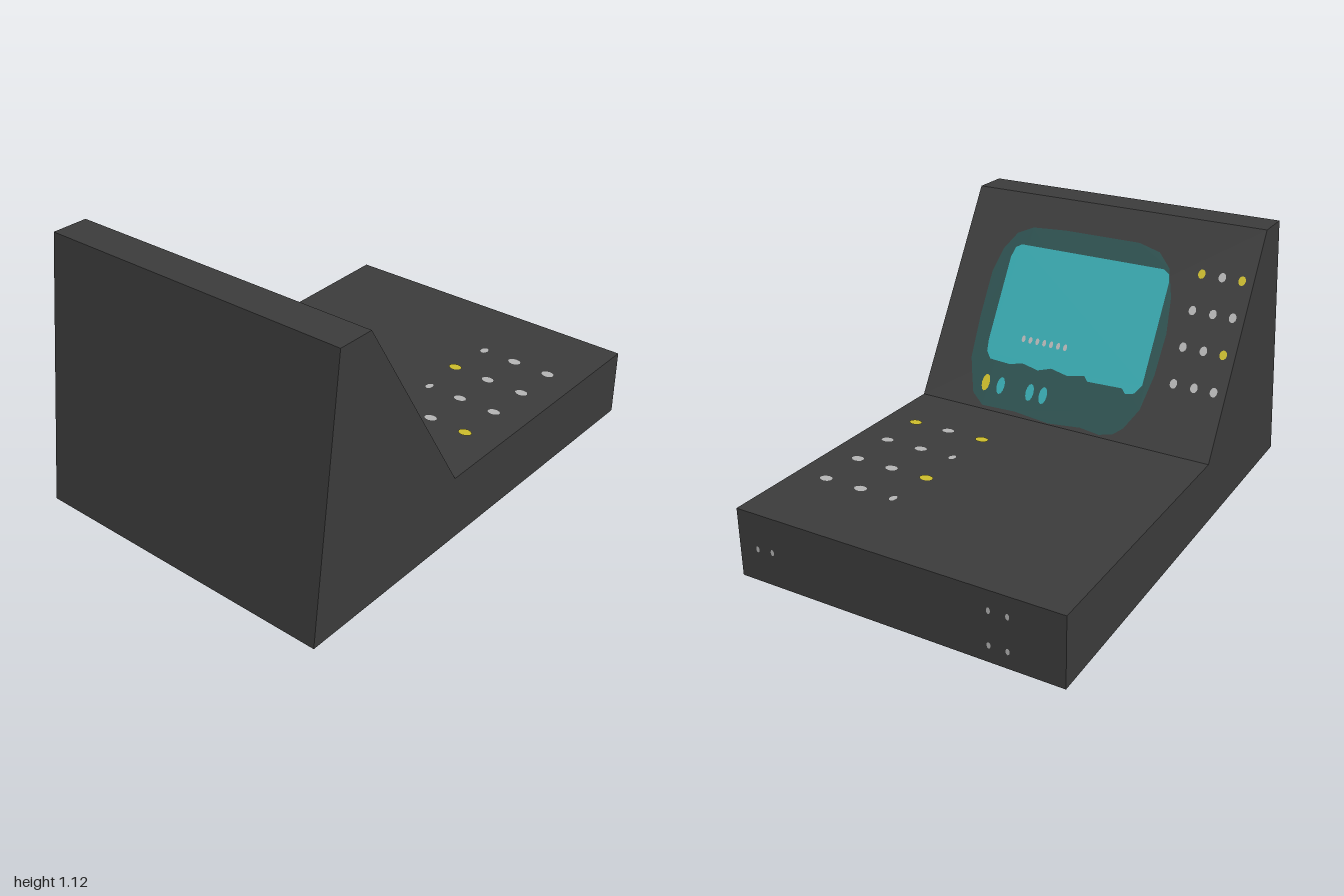
import * as THREE from 'three';

const mat = (name, color) => {
  const m = new THREE.MeshStandardMaterial({ color });
  m.name = name;
  return m;
};

export function createModel() {
  const charcoal = mat('charcoal', 0x3d3d3d);
  const darkTeal = mat('dark teal', 0x2e5352);
  const teal = mat('teal', 0x38abb2);
  const yellow = mat('yellow', 0xd0c02c);
  const grey = mat('light grey', 0xb8b8b8);

  const model = new THREE.Group();
  model.name = 'computerTerminal';

  // Wedge-shaped housing: side profile (z, y) extruded across x, slightly wider at the keyboard end
  const profile = [[1, 0.015], [0.855, 1.12], [0.705, 1.12], [0.205, 0.285], [-1, 0.29], [-1, 0]];
  const housing = new THREE.ExtrudeGeometry(
    new THREE.Shape(profile.map(([z, y]) => new THREE.Vector2(z, y))),
    { depth: 2, bevelEnabled: false });
  housing.translate(0, 0, -1).rotateY(-Math.PI / 2);
  const p = housing.attributes.position;
  for (let i = 0; i < p.count; i++) p.setX(i, p.getX(i) * (0.686 - 0.0125 * p.getZ(i)));
  housing.computeVertexNormals();
  const body = new THREE.Mesh(housing, charcoal);
  body.name = 'housing';
  model.add(body);

  // A flat working plane: local x runs towards -x, local y along "up", local z out of the surface
  const panel = (name, origin, up) => {
    const g = new THREE.Group();
    const x = new THREE.Vector3(-1, 0, 0);
    const y = new THREE.Vector3(...up).normalize();
    g.quaternion.setFromRotationMatrix(
      new THREE.Matrix4().makeBasis(x, y, new THREE.Vector3().crossVectors(x, y)));
    g.position.set(...origin);
    g.name = name;
    model.add(g);
    return g;
  };
  // Painted plates, given in model x and distance along the panel
  const plate = (parent, name, shape, material, lift, segments = 6) => {
    const m = new THREE.Mesh(new THREE.ShapeGeometry(shape, segments), material);
    m.position.z = lift;
    m.name = name;
    parent.add(m);
  };
  const dot = (parent, name, x, y, w, h, material, lift = 0.003) => {
    const s = new THREE.Shape();
    s.absellipse(-x, y, w / 2, h / 2, 0, Math.PI * 2);
    plate(parent, name, s, material, lift);
  };
  const outline = pts => new THREE.Shape(pts.map(([x, y]) => new THREE.Vector2(-x, y)));

  // Sloped display with a soft-cornered surround and a slightly uneven lower edge
  const slope = panel('displayPanel', [0, 0.285, 0.205], [0, 0.835, 0.5]);
  plate(slope, 'screenSurround', outline([
    [-0.19, 0.01], [-0.1, 0.02], [0.05, 0.005], [0.22, 0.02], [0.38, 0.015], [0.44, 0.06],
    [0.47, 0.14], [0.495, 0.21], [0.505, 0.4], [0.505, 0.6], [0.48, 0.71], [0.43, 0.79],
    [0.36, 0.825], [0.2, 0.835], [-0.15, 0.835], [-0.25, 0.81], [-0.31, 0.75],
    [-0.35, 0.63], [-0.37, 0.48], [-0.365, 0.3], [-0.34, 0.15], [-0.29, 0.06], [-0.25, 0.025],
  ]), darkTeal, 0.002);
  plate(slope, 'screen', outline([
    [-0.3, 0.21], [-0.26, 0.2], [-0.24, 0.22], [-0.08, 0.215], [-0.06, 0.235], [0.02, 0.22],
    [0.1, 0.235], [0.16, 0.215], [0.24, 0.23], [0.3, 0.215], [0.4, 0.22], [0.425, 0.25],
    [0.432, 0.3], [0.432, 0.68], [0.42, 0.725], [0.395, 0.742], [-0.29, 0.742],
    [-0.315, 0.725], [-0.325, 0.69], [-0.325, 0.25],
  ]), teal, 0.004);

  // Indicator lamps under the screen and a row of light specks on it
  [0.105, 0.17, 0.315, 0.39].forEach((x, i) =>
    dot(slope, 'indicatorLamp', x, 0.115, 0.038, 0.075, i === 3 ? yellow : teal, 0.005));
  for (let i = 0; i < 7; i++) {
    dot(slope, 'screenSpeck', 0.06 + i * 0.034, 0.335, 0.018, 0.03, grey, 0.006);
  }

  // Four rows of small buttons beside the screen
  const yellowSlope = ['0,1', '2,3', '0,3'];
  [-0.63, -0.545, -0.455].forEach((x, c) => {
    for (let r = 0; r < 4; r++) {
      dot(slope, 'sideButton', x, 0.285 + r * 0.155, 0.032, 0.04,
        yellowSlope.includes(`${c},${r}`) ? yellow : grey);
    }
  });

  // Keypad on the flat deck; two keys in the inner column are narrower
  const deck = panel('keypad', [0, 0.289, 0], [0, 0, 1]);
  const yellowDeck = ['0,0', '2,0', '0,2'];
  for (let r = 0; r < 4; r++) {
    for (let c = 0; c < 3; c++) {
      const narrow = c === 0 && r % 2 === 1;
      dot(deck, 'key', 0.21 + c * 0.165 + r * 0.005 + (narrow ? 0.012 : 0), -0.065 - r * 0.195,
        narrow ? 0.032 : 0.058, 0.044, yellowDeck.includes(`${c},${r}`) ? yellow : grey);
    }
  }

  // Tiny fasteners on the rear edge of the deck
  const edge = panel('rearEdge', [0, 0, -1], [0, 1, 0]);
  [[0.61, 0.14], [0.54, 0.145], [-0.4, 0.21], [-0.475, 0.21], [-0.4, 0.07], [-0.475, 0.07]]
    .forEach(([x, y]) => dot(edge, 'fastener', x, y, 0.016, 0.026, grey, 0.002));

  // Centre the plates' slight overhang
  model.position.set(0, 0, 0);
  return model;
}
